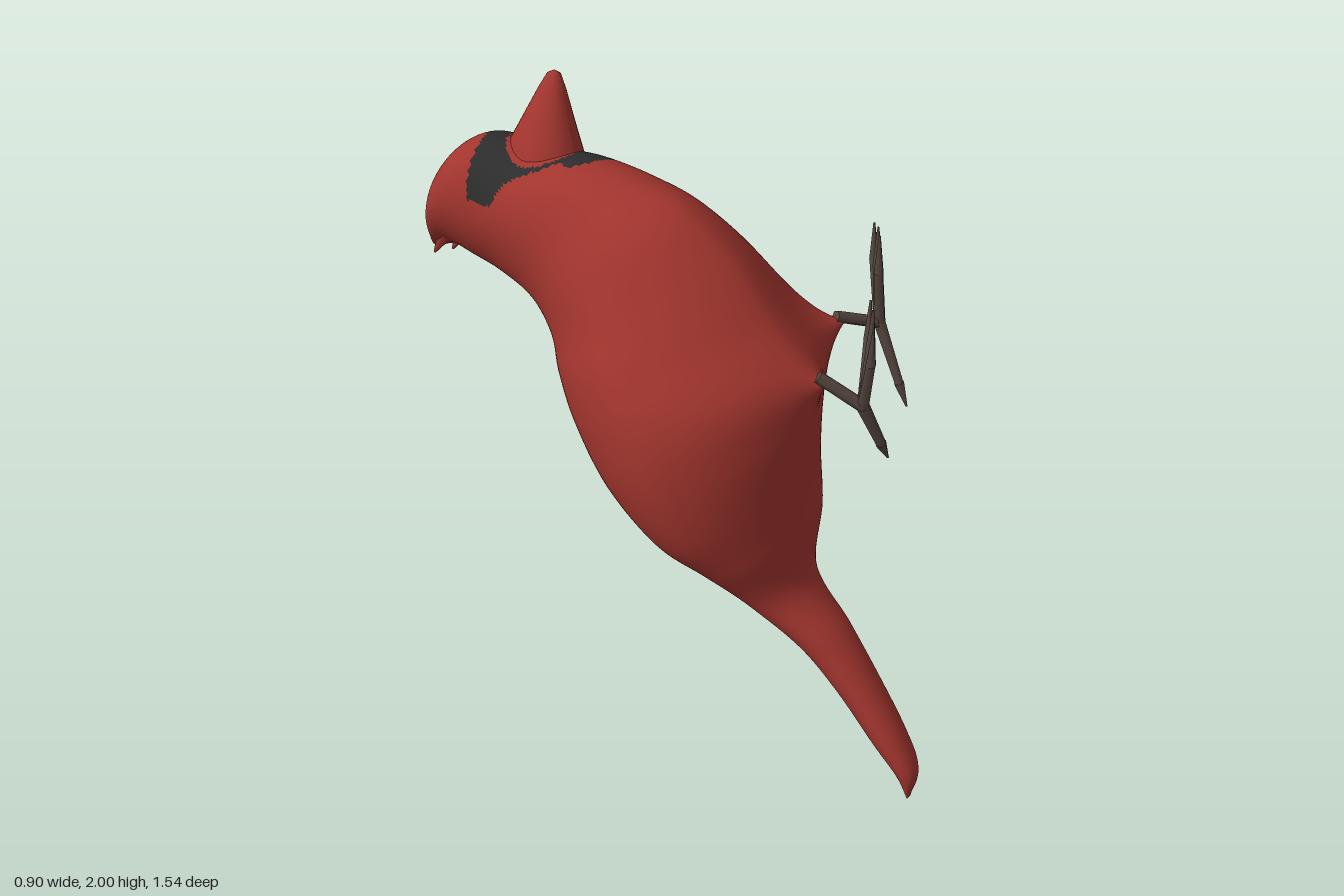
import * as THREE from 'three';

const mat = (name, color, side = THREE.FrontSide) => {
  const m = new THREE.MeshStandardMaterial({ color, side });
  m.name = name;
  return m;
};

// Sections from tail tip to crest: belly y, z, back y, z, right x, left x
const SECTIONS = [
  [0.01, 0.76, 0.0, 0.75, -0.025, 0.0],
  [0.1, 0.775, 0.08, 0.69, -0.05, 0.055],
  [0.2, 0.73, 0.18, 0.6, -0.07, 0.07],
  [0.35, 0.63, 0.33, 0.48, -0.09, 0.07],
  [0.5, 0.52, 0.45, 0.37, -0.12, 0.07],
  [0.66, 0.4, 0.57, 0.24, -0.19, 0.075],
  [0.85, 0.39, 0.68, 0.12, -0.3, 0.18],
  [1.0, 0.385, 0.78, -0.01, -0.39, 0.235],
  [1.2, 0.385, 0.92, -0.17, -0.44, 0.265],
  [1.36, 0.36, 1.08, -0.29, -0.445, 0.27],
  [1.5, 0.25, 1.2, -0.355, -0.42, 0.27],
  [1.63, 0.14, 1.26, -0.39, -0.38, 0.235],
  [1.74, 0.0, 1.31, -0.44, -0.345, 0.16],
  [1.785, -0.15, 1.34, -0.5, -0.32, 0.1],
  [1.805, -0.3, 1.37, -0.58, -0.315, 0.05],
  [1.79, -0.45, 1.39, -0.65, -0.32, 0.02],
  [1.8, -0.61, 1.42, -0.71, -0.33, -0.03],
  [1.71, -0.71, 1.42, -0.745, -0.32, -0.1],
  [1.57, -0.745, 1.42, -0.76, -0.29, -0.19],
  [1.46, -0.76, 1.43, -0.765, -0.27, -0.24],
];
const belly = new THREE.CatmullRomCurve3(
  SECTIONS.map(([by, bz, , , r, l]) => new THREE.Vector3((r + l) / 2, by, bz)), false, 'catmullrom');
const back = new THREE.CatmullRomCurve3(
  SECTIONS.map(([, , ky, kz, r, l]) => new THREE.Vector3((l - r) / 2, ky, kz)), false, 'catmullrom');

// Point on the plumage at u along the bird and angle t around it
function skin(u, t, scale = 1) {
  const b = belly.getPoint(u), k = back.getPoint(u);
  const skew = 0.08 + 0.5 * Math.max(0, 1 - u * 4);
  // The belly is keel shaped, the back slightly square, the head a little pinched
  const trunk = THREE.MathUtils.smoothstep(u, 0.2, 0.36) * (1 - THREE.MathUtils.smoothstep(u, 0.55, 0.75));
  const head = THREE.MathUtils.smoothstep(u, 0.7, 0.8);
  const power = 2 + (Math.sin(t) > 0 ? -0.42 * trunk : 0.15 * trunk - 0.2 * head);
  const r = scale / Math.pow(Math.abs(Math.cos(t)) ** power + Math.abs(Math.sin(t)) ** power, 1 / power);
  const s = Math.sin(t - skew) * r;
  return new THREE.Vector3(
    b.x + k.x * Math.cos(t) * r,
    (b.y + k.y) / 2 + (b.y - k.y) / 2 * s,
    (b.z + k.z) / 2 + (b.z - k.z) / 2 * s);
}

// Knee, ankle, toe tips and hind toe tip of each leg; reach is how far the thigh swells out
const LEGS = [
  { name: 'left', knee: [0.29, 1.315, 0.265], reach: 0.16, ankle: [0.385, 1.27, 0.31],
    toes: [[0.355, 1.565, 0.315], [0.392, 1.565, 0.285], [0.44, 1.54, 0.24]], hind: [0.395, 1.02, 0.41] },
  { name: 'right', knee: [-0.02, 1.33, 0.425], reach: 0.08, ankle: [0.03, 1.265, 0.5],
    toes: [[0.0, 1.53, 0.54], [0.04, 1.565, 0.51], [0.095, 1.55, 0.465]], hind: [0.105, 1.07, 0.54] },
];

// Plumage drawn out over the thighs towards both knees
function bodySkin(u, v) {
  const p = skin(u, v * Math.PI * 2);
  for (const { knee, reach } of LEGS) {
    const k = new THREE.Vector3(...knee);
    p.lerp(k, 0.93 * Math.exp(-Math.max(0, p.distanceTo(k) - reach) / 0.075));
  }
  return p;
}

// Grid surface; columns may wrap into a closed tube
function surface(fn, rows, cols, closed, isDark = () => false) {
  const pos = [], light = [], dark = [], stride = closed ? cols : cols + 1;
  for (let i = 0; i <= rows; i++)
    for (let j = 0; j < stride; j++) pos.push(...fn(i / rows, j / cols).toArray());
  const at = (n) => new THREE.Vector3().fromArray(pos, n * 3);
  const tri = (a, b, c) => {
    const mid = at(a).add(at(b)).add(at(c)).divideScalar(3);
    (isDark(mid) ? dark : light).push(a, b, c);
  };
  for (let i = 0; i < rows; i++)
    for (let j = 0; j < cols; j++) {
      const a = i * stride + j, b = i * stride + (j + 1) % stride;
      tri(a, a + stride, b);
      tri(b, a + stride, b + stride);
    }
  const g = new THREE.BufferGeometry();
  g.setAttribute('position', new THREE.Float32BufferAttribute(pos, 3));
  g.setIndex([...light, ...dark]);
  g.addGroup(0, light.length, 0);
  g.addGroup(light.length, dark.length, 1);
  g.computeVertexNormals();
  return g;
}

// Outline of the dark face mask, as x and z; it rings the beak and widens at the eyes and chin
const MASK = [
  [-0.31, -0.575], [-0.35, -0.52], [-0.28, -0.47], [-0.25, -0.43], [-0.22, -0.38], [-0.185, -0.35],
  [-0.19, -0.31], [-0.14, -0.28], [-0.07, -0.265], [-0.02, -0.29], [0.0, -0.33], [0.01, -0.4],
  [0.025, -0.47], [0.04, -0.56], [0.03, -0.645], [-0.03, -0.64], [-0.06, -0.63], [-0.14, -0.62], [-0.22, -0.595],
];
function inMask(p) {
  const floor = p.z < -0.54 && p.x > -0.2 ? 1.625 : 1.67;
  if (p.y < floor || Math.hypot((p.x + 0.122) / 0.108, (p.z + 0.455) / 0.103) < 1) return false;
  let inside = false;
  MASK.forEach(([x1, z1], i) => {
    const [x2, z2] = MASK[(i + 1) % MASK.length];
    if ((z1 > p.z) !== (z2 > p.z) && p.x < (x2 - x1) * (p.z - z1) / (z2 - z1) + x1) inside = !inside;
  });
  return inside;
}

export function createModel() {
  const red = mat('red plumage', 0xa2352e, THREE.DoubleSide);
  const black = mat('black mask', 0x2d2d2d);
  const brown = mat('brown legs', 0x56463f);
  const bird = new THREE.Group();
  bird.name = 'bird';

  const add = (name, geometry, material, parent = bird) => {
    const m = new THREE.Mesh(geometry, material);
    m.name = name;
    parent.add(m);
    return m;
  };
  // Tapered round piece from point a to point b
  const limb = (name, a, b, ra, rb, material, parent, sides = 6) => {
    const p = new THREE.Vector3(...a), q = new THREE.Vector3(...b), d = q.clone().sub(p);
    const m = add(name, new THREE.CylinderGeometry(rb, ra, d.length(), sides), material, parent);
    m.position.copy(p).add(q).multiplyScalar(0.5);
    m.quaternion.setFromUnitVectors(new THREE.Vector3(0, 1, 0), d.normalize());
  };

  // Body, thighs, head, crest and tail in one smooth skin
  add('body', surface(bodySkin, 240, 120, true, inMask), [red, black]);

  // Folded wings lying over both flanks
  const wing = (from, to) => surface((u, v) => {
    const edge = Math.pow(Math.max(0, Math.sin(Math.PI * u) * Math.sin(Math.PI * v)), 0.3);
    const spread = 0.55 + 0.45 * Math.sin(Math.PI * Math.min(1, u * 0.75 + 0.15));
    const t = (from + to) / 2 + (v - 0.5) * (to - from) * spread;
    return skin(0.27 + 0.36 * u, t, 0.965 + 0.05 * edge);
  }, 40, 30, false);
  add('leftWing', wing(-1.35, 0.3), red);
  add('rightWing', wing(Math.PI - 0.5, Math.PI + 1.35), red);

  // Beak: lathed, flared into the face and leaning to its tip
  const profile = [[0.135, -0.08], [0.116, -0.03], [0.102, 0.02], [0.082, 0.07], [0.059, 0.13], [0.038, 0.185],
    [0.019, 0.228], [0, 0.24]].map(([r, y]) => new THREE.Vector2(r, y));
  const beakGeo = new THREE.LatheGeometry(profile, 32);
  const p = beakGeo.attributes.position;
  for (let i = 0; i < p.count; i++) {
    const lean = Math.max(0, p.getY(i)) / 0.24;
    p.setX(i, p.getX(i) * 0.93 + 0.04 * lean);
    p.setZ(i, p.getZ(i) * 1.06 + 0.015 * lean);
  }
  beakGeo.computeVertexNormals();
  add('beak', beakGeo, red).position.set(-0.122, 1.76, -0.46);

  // Ragged crest feathers
  [[-0.265, 1.41, -0.762], [-0.22, 1.41, -0.735], [-0.18, 1.4, -0.69]].forEach((tip) =>
    limb('crestFeather', [tip[0] + 0.01, 1.5, tip[2] + 0.05], tip, 0.028, 0.004, red, bird, 8));

  // Legs and feet
  for (const { name, knee, ankle, toes, hind } of LEGS) {
    const leg = new THREE.Group();
    leg.name = name + 'Leg';
    bird.add(leg);
    // The shank starts a little inside the thigh
    const root = knee.map((c, k) => c - (ankle[k] - c) * 0.35);
    limb('shank', root, ankle, 0.017, 0.018, brown, leg);
    for (const tip of toes) {
      // Each toe spreads out, then ends in a claw
      const mid = tip.map((c, k) => ankle[k] + (c - ankle[k]) * (k === 1 ? 0.6 : 0.85));
      limb('toe', ankle, mid, 0.018, 0.014, brown, leg);
      limb('claw', mid, tip, 0.015, 0.003, brown, leg);
    }
    const heel = hind.map((c, k) => ankle[k] + (c - ankle[k]) * 0.72);
    limb('hindToe', ankle, heel, 0.019, 0.014, brown, leg);
    limb('hindClaw', heel, hind, 0.016, 0.003, brown, leg);
  }
  return bird;
}
